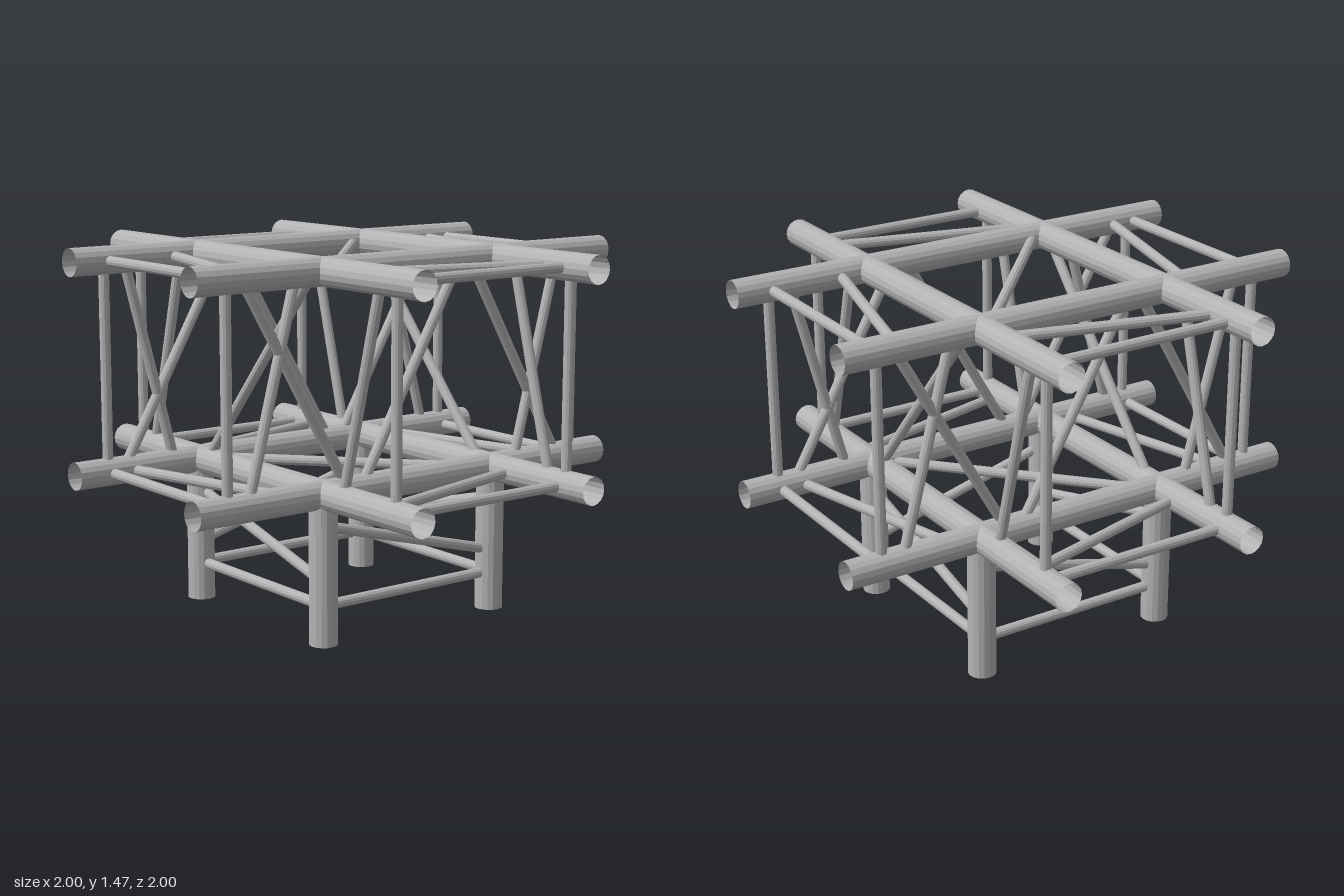
import * as THREE from 'three';

const H = 0.418;        // half spacing between chord centre lines
const CHORD_R = 0.056;
const BRACE_R = 0.021;

export function createModel() {
  const metal = new THREE.MeshStandardMaterial({
    color: 0xb3b3b3, flatShading: true, side: THREE.DoubleSide });
  metal.name = 'brushed aluminium';

  // Open pipe between two points
  function pipe(parent, name, a, b, radius, sides) {
    const from = new THREE.Vector3(...a), to = new THREE.Vector3(...b);
    const dir = to.clone().sub(from);
    const mesh = new THREE.Mesh(
      new THREE.CylinderGeometry(radius, radius, dir.length(), sides, 1, true), metal);
    mesh.position.copy(from).add(to).multiplyScalar(0.5);
    mesh.quaternion.setFromUnitVectors(new THREE.Vector3(0, 1, 0), dir.normalize());
    mesh.name = name;
    parent.add(mesh);
  }
  const chord = (p, name, a, b) => pipe(p, name, a, b, CHORD_R, 16);
  const brace = (p, name, a, b) => pipe(p, name, a, b, BRACE_R, 12);

  // One diagonal: place(u, v) maps along-span u and across-span v to a point,
  // lean is the across side (+1 or -1) reached at the larger u
  function diagonal(parent, name, centre, half, lean, place) {
    brace(parent, name, place(centre - half, -lean * H), place(centre + half, lean * H));
  }

  const model = new THREE.Group();
  model.name = 'trussJunction';
  const node = new THREE.Group();
  node.name = 'junctionFrame';
  node.position.y = 1;
  model.add(node);

  // Long chords and legs
  for (const s of [-1, 1]) {
    for (const t of [-1, 1]) {
      chord(node, 'sideChord', [-1, s * H, t * H], [1, s * H, t * H]);
      chord(node, 'depthChord', [t * H, s * H, -1], [t * H, s * H, 1]);
      chord(node, 'leg', [s * H, -1, t * H], [s * H, -H, t * H]);
    }
  }

  // Five equal arms, each with an end bar and one diagonal per face,
  // the diagonals winding round the arm; built along +x and turned
  const turns = [[0, 0], [Math.PI / 2, 0], [Math.PI, 0], [-Math.PI / 2, 0], [0, -Math.PI / 2]];
  for (const [ry, rz] of turns) {
    const arm = new THREE.Group();
    arm.name = rz ? 'lowerArmBracing' : 'armBracing';
    arm.rotation.set(0, ry, rz);
    node.add(arm);
    for (const s of [-1, 1]) {
      const faces = [[s, (u, v) => [u, v, s * H]], [-s, (u, v) => [u, s * H, v]]];
      for (const [lean, place] of faces) {
        brace(arm, 'endBar', place(0.85, -H), place(0.85, H));
        diagonal(arm, 'armDiagonal', 0.65, 0.11, lean, place);
      }
    }
  }

  // Bracing of the central cube, opposite faces leaning opposite ways
  for (const s of [-1, 1]) {
    diagonal(node, 'sideDiagonal', 0, 0.365, -s, (u, v) => [s * H, v, u]);
    diagonal(node, 'deckDiagonal', 0, 0.375, -s, (u, v) => [u, s * H, v]);
    // Zigzag along the front and back
    for (const i of [-1, 0, 1]) {
      diagonal(node, 'faceDiagonal', i * 0.54, 0.24, i ? -s : s, (u, v) => [u, v, s * H]);
    }
  }

  return model;
}
